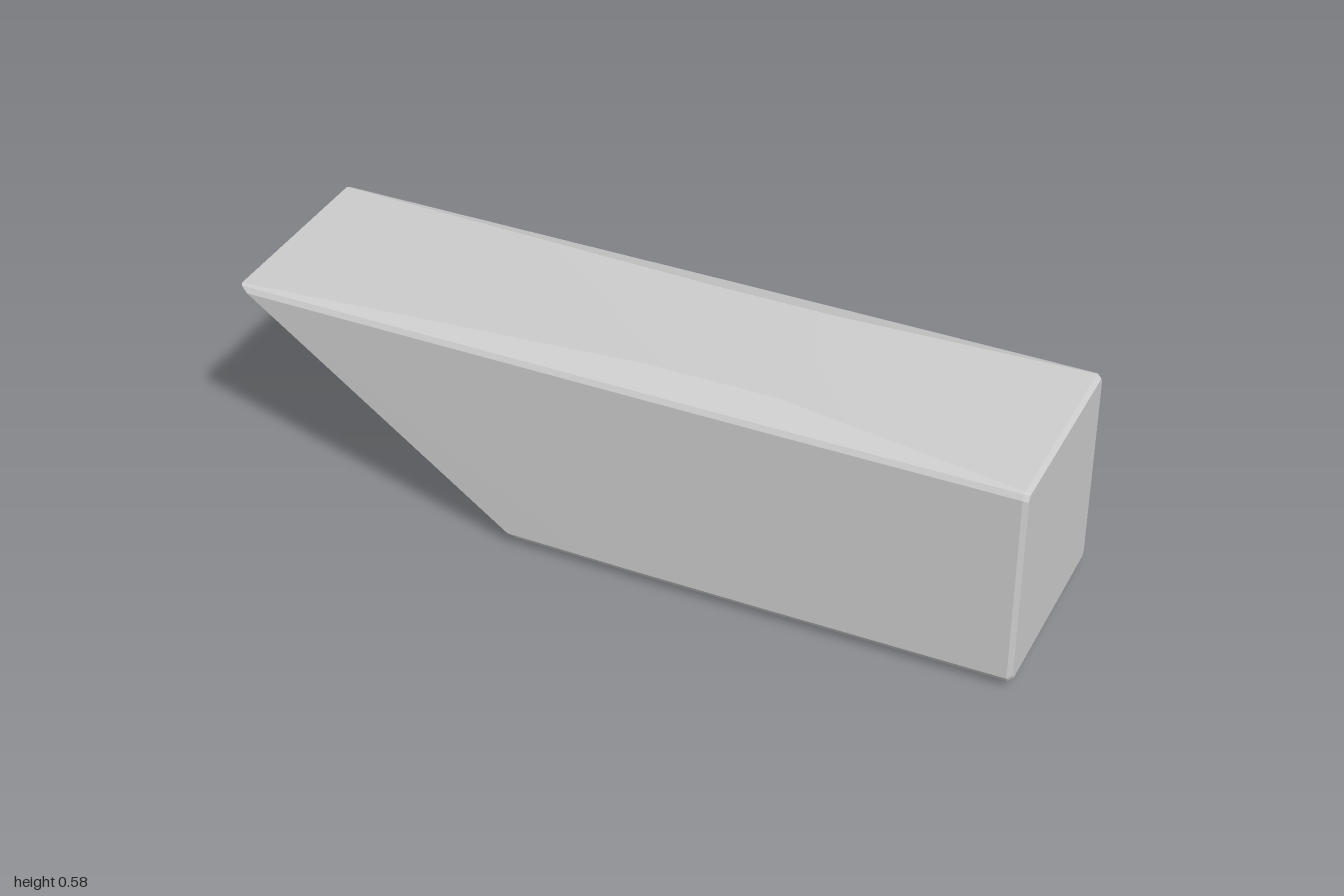
import * as THREE from 'three';
import { toCreasedNormals } from 'three/addons/utils/BufferGeometryUtils.js';

const BEVEL = 0.013;

// Slanted nose: x of the end face at a given height
const noseX = (y) => -0.28 - 1.37 * (y - 0.02);

// Cross-section in (z, y), running up the +z wall, over the crown, down the -z wall and under the keel
function section({ w, low, high, crown, shoulder, keel, keelShoulder }) {
  const half = [
    [keelShoulder, low - keel],
    [w - BEVEL * 0.6, low],
    [w, low + BEVEL],
    [w, high - BEVEL],
    [w - BEVEL * 0.6, high],
    [shoulder, high + crown],
  ];
  const mirrored = half.map(([z, y]) => [-z, y]).reverse();
  return [...half, ...mirrored];
}

function loftGeometry() {
  const cap = { w: 0.256, low: 0.03, high: 0.546, crown: 0, shoulder: 0.235, keel: 0, keelShoulder: 0.235 };
  const end = { w: 0.265, low: 0.023, high: 0.552, crown: 0.003, shoulder: 0.25, keel: 0.002, keelShoulder: 0.25 };
  const middle = { w: 0.267, low: 0.022, high: 0.552, crown: 0.028, shoulder: 0.185, keel: 0.022, keelShoulder: 0.215 };

  // Stations from the slanted nose to the square tail
  const stations = [
    [cap, noseX],
    [end, (y) => noseX(y) + 0.014],
    [middle, () => 0.05],
    [middle, () => 0.38],
    [end, () => 0.988],
    [cap, () => 1],
  ];

  const positions = [];
  for (const [shape, xAt] of stations) {
    for (const [z, y] of section(shape)) positions.push(xAt(y), y, z);
  }

  const n = 12;
  const last = (stations.length - 1) * n;
  const index = [];
  for (let i = 0; i < stations.length - 1; i++) {
    for (let j = 0; j < n; j++) {
      const a = i * n + j;
      const c = i * n + ((j + 1) % n);
      index.push(a, a + n, c, c, a + n, c + n);
    }
  }
  // End faces
  for (let k = 1; k < n - 1; k++) {
    index.push(0, k, k + 1);
    index.push(last, last + k + 1, last + k);
  }

  const geometry = new THREE.BufferGeometry();
  geometry.setAttribute('position', new THREE.Float32BufferAttribute(positions, 3));
  geometry.setIndex(index);
  return toCreasedNormals(geometry, 0.3);
}

export function createModel() {
  const group = new THREE.Group();
  group.name = 'slantedBlock';
  const body = new THREE.Mesh(loftGeometry(), new THREE.MeshStandardMaterial({ color: 0xcccccc }));
  body.name = 'beveledBody';
  group.add(body);
  return group;
}
